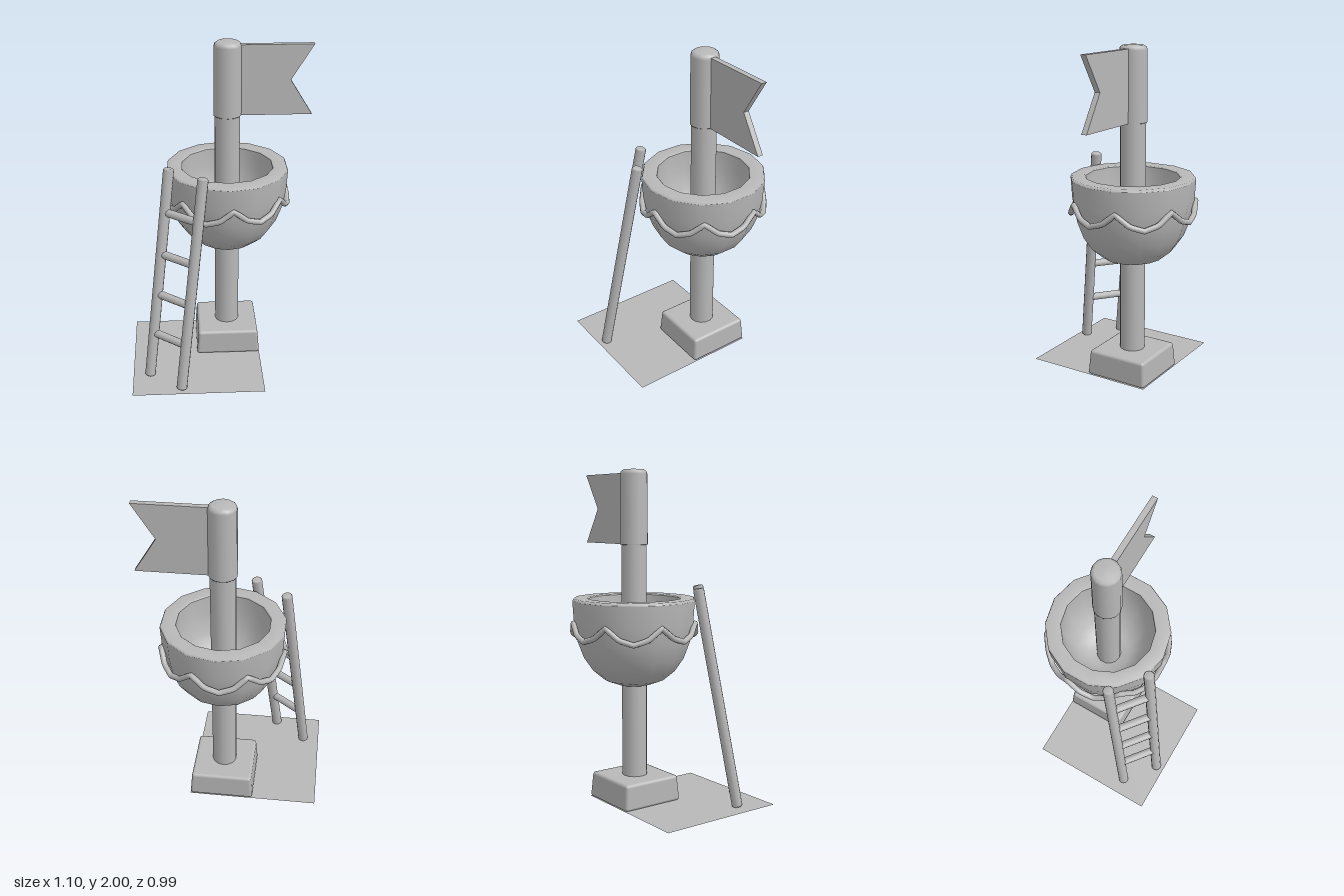
import * as THREE from 'three';
import { RoundedBoxGeometry } from 'three/addons/geometries/RoundedBoxGeometry.js';

const gray = new THREE.MeshStandardMaterial({ color: 0xb8b8b8, side: THREE.DoubleSide });
gray.name = 'gray';
const brown = new THREE.MeshStandardMaterial({ color: 0x4a3a24 });
brown.name = 'dark brown';

const CX = 0.05, CZ = -0.113; // mast axis
const V = (x, y, z) => new THREE.Vector3(x, y, z);

function lathe(points, segments) {
  return new THREE.LatheGeometry(points.map(([r, y]) => new THREE.Vector2(r, y)), segments, Math.PI);
}

export function createModel() {
  const model = new THREE.Group();
  function add(parent, name, geometry, x = 0, y = 0, z = 0, material = gray) {
    const mesh = new THREE.Mesh(geometry, material);
    mesh.name = name;
    mesh.position.set(x, y, z);
    parent.add(mesh);
    return mesh;
  }
  // Round bar between two points
  function bar(parent, name, a, b, radius, rounded) {
    const length = a.distanceTo(b);
    const geometry = rounded
      ? new THREE.CapsuleGeometry(radius, length, 3, 10)
      : lathe([[0, -length / 2], [radius * 0.8, -length / 2], [radius, -length / 2 + 0.007],
        [radius, length / 2 - 0.007], [radius * 0.8, length / 2], [0, length / 2]], 12);
    const mesh = add(parent, name, geometry);
    mesh.position.copy(a).add(b).multiplyScalar(0.5);
    mesh.quaternion.setFromUnitVectors(V(0, 1, 0), b.clone().sub(a).normalize());
  }

  // Ground sheet
  const sheet = new THREE.PlaneGeometry(0.8, 0.8).rotateX(-Math.PI / 2);
  add(model, 'groundSheet', sheet, -0.15, 0.004, 0.09);

  // Foot block, slightly narrower at the top
  const block = new RoundedBoxGeometry(0.4, 0.156, 0.4, 2, 0.018);
  const pos = block.attributes.position;
  for (let i = 0; i < pos.count; i++) {
    const s = 0.97 - 0.38 * pos.getY(i);
    pos.setX(i, pos.getX(i) * s);
    pos.setZ(i, pos.getZ(i) * s);
  }
  add(model, 'footBlock', block, CX, 0.083, CZ);
  add(model, 'footUnderside', new THREE.PlaneGeometry(0.4, 0.4).rotateX(Math.PI / 2), CX, 0.001, CZ, brown);

  // Mast and the thicker sleeve that carries the flag
  add(model, 'mast', new THREE.CylinderGeometry(0.076, 0.076, 1.45, 14), CX, 0.855, CZ);
  add(model, 'mastSleeve', lathe([[0.07, 1.56], [0.083, 1.56], [0.083, 1.562], [0.081, 1.97],
    [0.076, 1.987], [0.06, 1.998], [0, 2]], 14), CX, 0, CZ);

  // Swallow-tailed flag
  const flag = new THREE.Shape([[0.12, 1.56], [0.548, 1.56], [0.417, 1.77], [0.548, 1.98], [0.12, 1.98]]
    .map(([x, y]) => new THREE.Vector2(x, y)));
  add(model, 'flag', new THREE.ExtrudeGeometry(flag, { depth: 0.034, bevelEnabled: false }), 0, 0, CZ - 0.017);

  // Lookout bowl: outer shell, rim and hollow inside
  const bowl = new THREE.Group();
  bowl.name = 'lookoutBowl';
  bowl.position.set(CX, 0, CZ);
  model.add(bowl);
  add(bowl, 'bowlShell', lathe([[0.03, 0.72], [0.1, 0.723], [0.18, 0.752], [0.25, 0.81], [0.305, 0.89],
    [0.342, 0.99], [0.362, 1.1], [0.37, 1.23]], 14));
  add(bowl, 'bowlRim', lathe([[0.37, 1.23], [0.363, 1.245], [0.285, 1.245], [0.278, 1.238]], 14));
  add(bowl, 'bowlInside', lathe([[0.278, 1.238], [0.275, 1.12], [0.25, 1.0], [0.2, 0.9],
    [0.13, 0.84], [0.03, 0.82]], 14));

  // Garland of seven swags around the bowl
  const garland = new THREE.CurvePath();
  const knots = [];
  for (let i = 0; i < 28; i++) {
    const angle = THREE.MathUtils.degToRad(3) + (i / 28) * Math.PI * 2;
    const y = [1.1, 1.035, 1.01, 1.035][i % 4];
    knots.push(V(Math.sin(angle) * 0.368, y, Math.cos(angle) * 0.368));
  }
  knots.forEach((p, i) => garland.add(new THREE.LineCurve3(p, knots[(i + 1) % 28])));
  const rope = new THREE.CatmullRomCurve3(garland.getSpacedPoints(112).slice(0, -1), true);
  add(bowl, 'garland', new THREE.TubeGeometry(rope, 112, 0.017, 8, true));

  // Leaning ladder
  const ladder = new THREE.Group();
  ladder.name = 'ladder';
  model.add(ladder);
  const rails = [
    [V(-0.447, 0.006, 0.288), V(-0.3, 1.312, 0.095)],
    [V(-0.254, 0.006, 0.438), V(-0.107, 1.312, 0.248)],
  ];
  for (const [foot, top] of rails) {
    bar(ladder, 'ladderRail', foot, top, 0.032, false);
    add(ladder, 'railUnderside', new THREE.CircleGeometry(0.022, 12).rotateX(Math.PI / 2),
      foot.x, 0.001, foot.z, brown);
  }
  for (const y of [0.29, 0.543, 0.795, 1.052]) {
    const [a, b] = rails.map(([foot, top]) => foot.clone().lerp(top, (y - 0.006) / 1.306));
    bar(ladder, 'ladderRung', a, b, 0.024, true);
  }
  return model;
}
